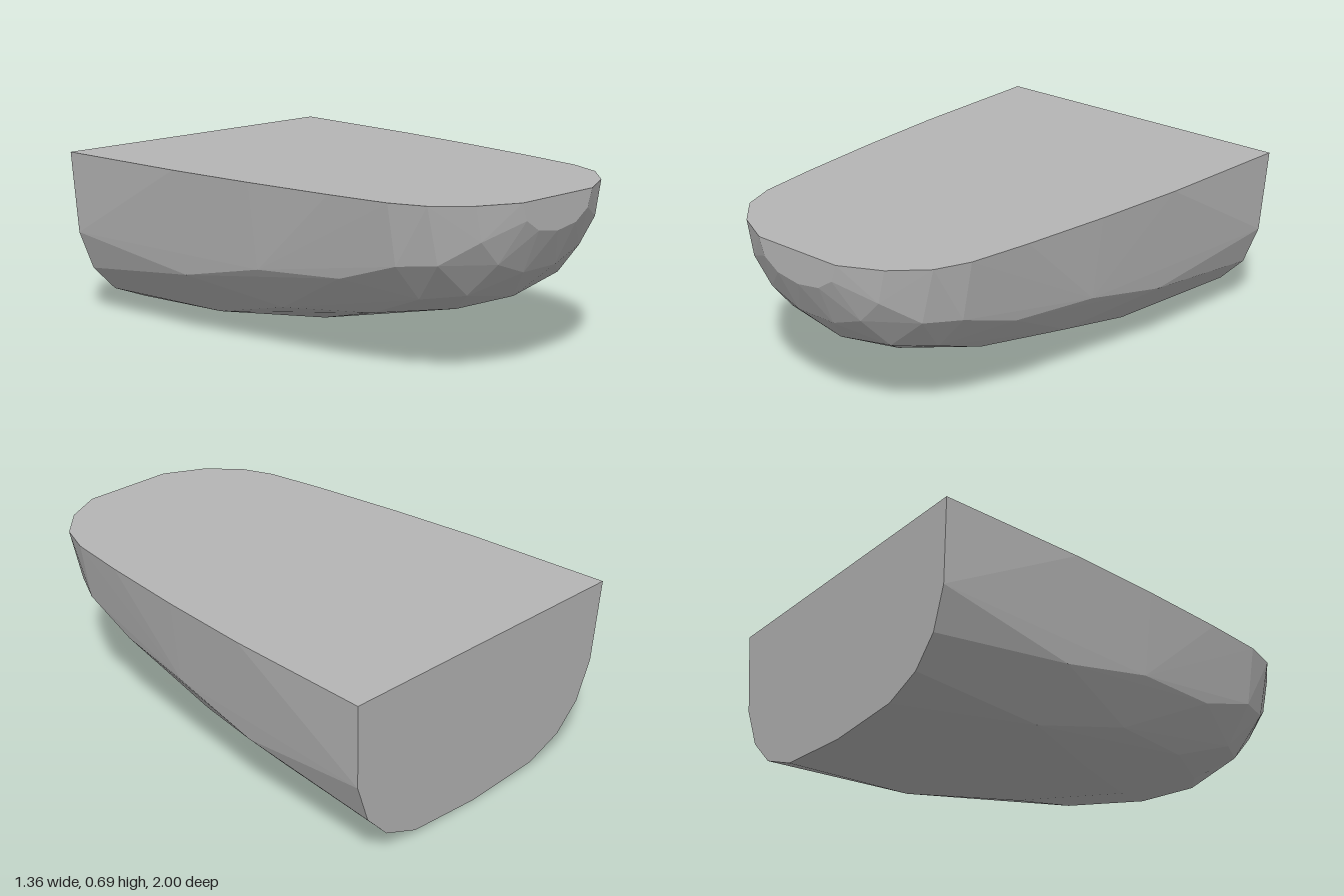
import * as THREE from 'three';
import { ConvexGeometry } from 'three/addons/geometries/ConvexGeometry.js';

const DECK = 0.69; // height of the flat top

// Stations from stern to bow: z, half width, keel height, squareness of section
const STATIONS = [
  [-1.0, 0.682, 0.0, 3.3],
  [-0.38, 0.655, 0.02, 3.1],
  [0.02, 0.62, 0.08, 2.9],
  [0.4, 0.575, 0.15, 2.7],
  [0.66, 0.535, 0.225, 2.5],
  [0.8, 0.48, 0.28, 2.3],
  [0.92, 0.36, 0.4, 2.2],
  [1.0, 0.2, 0.56, 2.2],
];

// Rounded U-shaped cross-section, hanging down from the deck
function sectionPoints([z, halfWidth, keel, power], index) {
  const points = [];
  const steps = index === 0 ? 10 : 7 - (index % 2); // staggered for irregular facets
  for (let i = 0; i <= steps; i++) {
    const a = (Math.PI * i) / steps;
    const c = Math.cos(a);
    const x = halfWidth * Math.sign(c) * Math.abs(c) ** (2 / power);
    const drop = i % steps === 0 ? 0 : Math.sin(a) ** (2 / power);
    const slant = index === 0 ? 0.025 * drop : 0; // transom leans slightly
    points.push(new THREE.Vector3(x, DECK - (DECK - keel) * drop, z + slant));
  }
  return points;
}

export function createModel() {
  const group = new THREE.Group();
  group.name = 'boatHull';

  const grey = new THREE.MeshStandardMaterial({ color: 0xb4b4b4 });
  grey.name = 'grey';
  grey.flatShading = true;

  // Solid faceted hull with flat deck and transom
  const hull = new THREE.Mesh(new ConvexGeometry(STATIONS.flatMap(sectionPoints)), grey);
  hull.name = 'hull';
  group.add(hull);
  return group;
}
